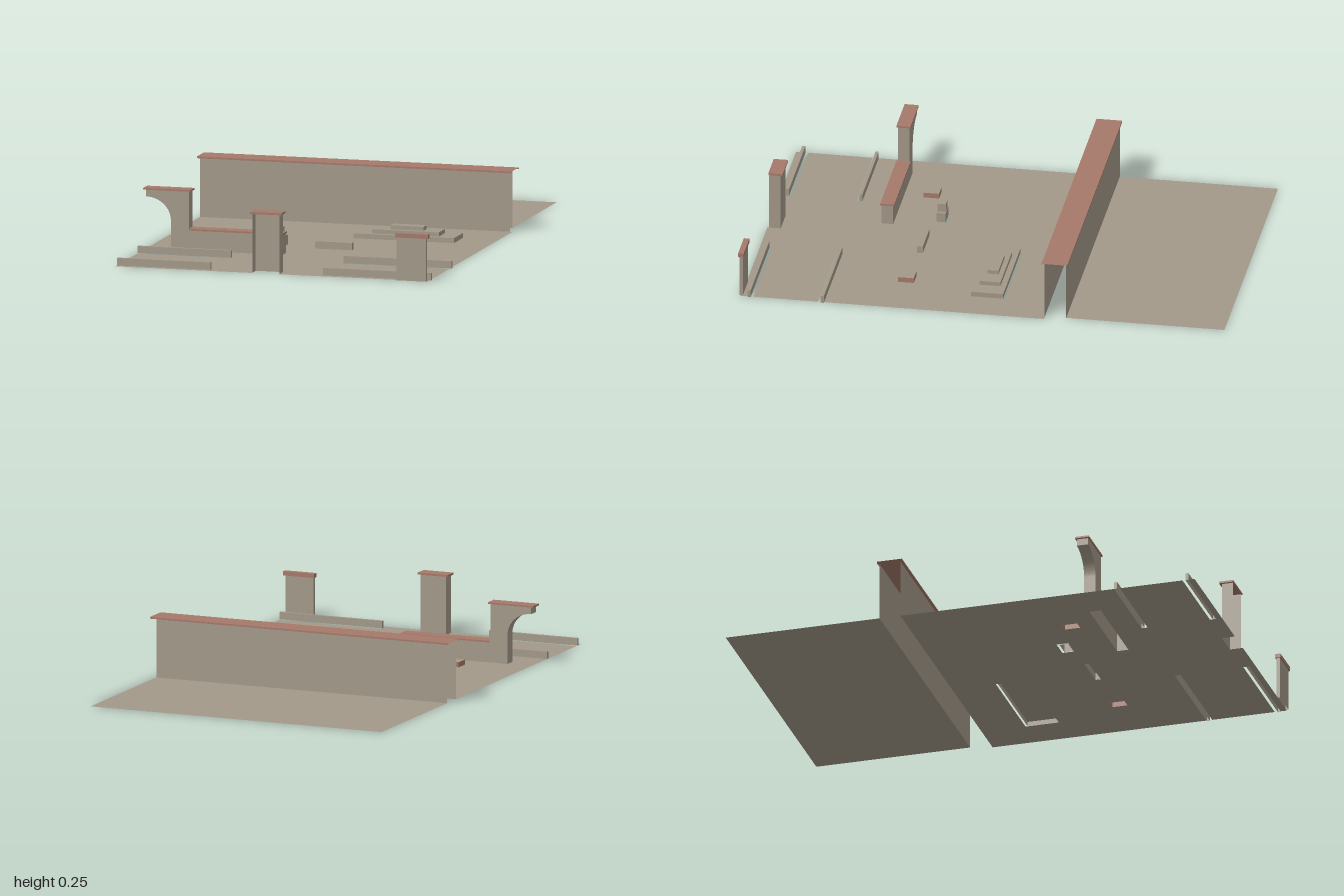
import * as THREE from 'three';

const stone = new THREE.MeshStandardMaterial({ color: 0xa29888, side: THREE.DoubleSide });
stone.name = 'stone';
const terracotta = new THREE.MeshStandardMaterial({ color: 0xa57869, side: THREE.DoubleSide });
terracotta.name = 'terracotta';

// Order of the sides in a BoxGeometry
const SIDES = ['+x', '-x', '+y', '-y', '+z', '-z'];

export function createModel() {
  const model = new THREE.Group();
  model.name = 'courtyard';

  const add = (name, geometry, material, parent = model) => {
    const mesh = new THREE.Mesh(geometry, material);
    mesh.name = name;
    parent.add(mesh);
    return mesh;
  };

  // Box given by its limits, leaving out the listed open sides
  const box = (name, material, [x0, x1], [y0, y1], [z0, z1], open = ['-y'], parent = model) => {
    const g = new THREE.BoxGeometry(x1 - x0, y1 - y0, z1 - z0);
    g.translate((x0 + x1) / 2, (y0 + y1) / 2, (z0 + z1) / 2);
    const all = Array.from(g.index.array);
    g.setIndex(SIDES.flatMap((s, i) => (open.includes(s) ? [] : all.slice(i * 6, i * 6 + 6))));
    g.clearGroups();
    return add(name, g, material, parent);
  };

  const group = (name) => {
    const g = new THREE.Group();
    g.name = name;
    model.add(g);
    return g;
  };

  // Flat ground from an outline in x and z, with rectangular openings
  const ground = (name, outline, openings = []) => {
    const v = (x, z) => new THREE.Vector2(x, -z);
    const shape = new THREE.Shape(outline.map(([x, z]) => v(x, z)));
    for (const [x0, x1, z0, z1] of openings) {
      shape.holes.push(new THREE.Path([v(x0, z0), v(x1, z0), v(x1, z1), v(x0, z1)]));
    }
    add(name, new THREE.ShapeGeometry(shape).rotateX(-Math.PI / 2), stone);
  };

  // Front ground: slots for the curbs at both edges and a notch for the gate pillar
  ground('courtyardGround', [
    [-0.66, -0.26], [0.66, -0.26],
    [0.66, 0.646], [0.21, 0.646], [0.21, 0.671], [0.66, 0.671],
    [0.66, 0.936], [0.21, 0.936], [0.21, 0.961], [0.66, 0.961],
    [0.66, 0.987], [0.032, 0.987], [0.032, 0.932], [-0.083, 0.932], [-0.083, 0.987], [-0.66, 0.987],
    [-0.66, 0.961], [-0.266, 0.961], [-0.266, 0.936], [-0.66, 0.936],
    [-0.66, 0.671], [-0.266, 0.671], [-0.266, 0.646], [-0.66, 0.646],
  ], [
    [0.082, 0.507, -0.075, 0.066],
    [-0.214, -0.13, 0.27, 0.32],
    [0, 0.157, 0.325, 0.348],
    [-0.402, -0.342, 0.343, 0.408],
    [0.366, 0.428, 0.316, 0.38],
    [-0.555, -0.083, 0.488, 0.536],
  ]);
  ground('rearGround', [[-0.66, -1], [0.635, -1], [0.635, -0.348], [-0.66, -0.348]]);

  // Long dividing wall, open at its ends
  const wall = group('dividingWall');
  const wallOpen = ['+x', '-x', '+y', '-y', '+z', '-z'];
  box('wallFront', stone, [-0.66, 0.65], [0, 0.244], [-0.265, -0.26],
    wallOpen.filter((s) => s !== '+z'), wall);
  box('wallBack', stone, [-0.66, 0.635], [0, 0.244], [-0.348, -0.34],
    wallOpen.filter((s) => s !== '-z'), wall);
  box('wallCap', terracotta, [-0.671, 0.66], [0.243, 0.25], [-0.356, -0.25], ['+x', '-x', '-y'], wall);

  // Curbs along the path
  for (const [x0, x1] of [[-0.66, -0.266], [0.21, 0.667]]) {
    box('curbBack', stone, [x0, x1], [0, 0.03], [0.646, 0.659]);
    box('curbFront', stone, [x0, x1], [0, 0.03], [0.948, 0.961]);
  }

  // Stepped platform
  const platform = group('steppedPlatform');
  box('lowerStep', stone, [0.082, 0.507], [0, 0.02], [-0.066, 0.066], ['-y'], platform);
  box('middleStep', stone, [0.155, 0.437], [0.02, 0.037], [-0.043, 0.044], ['-y'], platform);
  box('upperStep', stone, [0.226, 0.366], [0.037, 0.053], [-0.023, 0.022], ['-y'], platform);

  // Small monument
  const monument = group('monument');
  box('monumentBase', stone, [-0.206, -0.134], [0, 0.04], [0.28, 0.318], ['-y'], monument);
  box('monumentTop', stone, [-0.19, -0.148], [0.04, 0.075], [0.282, 0.316], ['-y'], monument);

  // Low bench
  box('bench', stone, [0, 0.157], [0, 0.03], [0.325, 0.348]);

  // Planters with terracotta sides and stone tops
  for (const [x, z] of [[[-0.402, -0.342], [0.343, 0.408]], [[0.366, 0.428], [0.316, 0.38]]]) {
    const planter = group('planter');
    box('planterSides', terracotta, x, [0, 0.021], z, ['+y', '-y'], planter);
    box('planterTop', stone, x, [0, 0.021], z, SIDES.filter((s) => s !== '+y'), planter);
  }

  // Side wall: half arch followed by a low wall
  const side = group('archedSideWall');
  const arch = new THREE.Shape();
  arch.moveTo(-0.478, 0);
  arch.lineTo(-0.478, 0.244);
  arch.lineTo(-0.66, 0.244);
  arch.lineTo(-0.66, 0.215);
  arch.absellipse(-0.66, 0.12, 0.105, 0.095, Math.PI / 2, 0, true);
  arch.lineTo(-0.555, 0);
  const archGeometry = new THREE.ExtrudeGeometry(arch, { depth: 0.048, bevelEnabled: false, curveSegments: 12 });
  add('halfArch', archGeometry.translate(0, 0, 0.488), stone, side);
  box('archCap', terracotta, [-0.671, -0.47], [0.243, 0.25], [0.483, 0.541], [], side);
  box('lowWall', stone, [-0.478, -0.083], [0, 0.083], [0.488, 0.536], ['-y', '-x'], side);
  box('lowWallCap', terracotta, [-0.478, -0.079], [0.083, 0.09], [0.483, 0.541], ['-x'], side);

  // Gate pillar, open towards the front
  const pillar = group('gatePillar');
  box('pillarShaft', stone, [-0.083, 0.032], [0, 0.243], [0.932, 0.98], ['+z', '-y', '+y'], pillar);
  box('pillarCap', terracotta, [-0.093, 0.04], [0.242, 0.25], [0.923, 0.982], [], pillar);

  // Thin post at the front corner
  const post = group('cornerPost');
  box('postPanel', stone, [0.53, 0.656], [0, 0.178], [0.982, 0.996], ['-y'], post);
  box('postCap', terracotta, [0.525, 0.665], [0.177, 0.194], [0.977, 1], [], post);

  return model;
}
